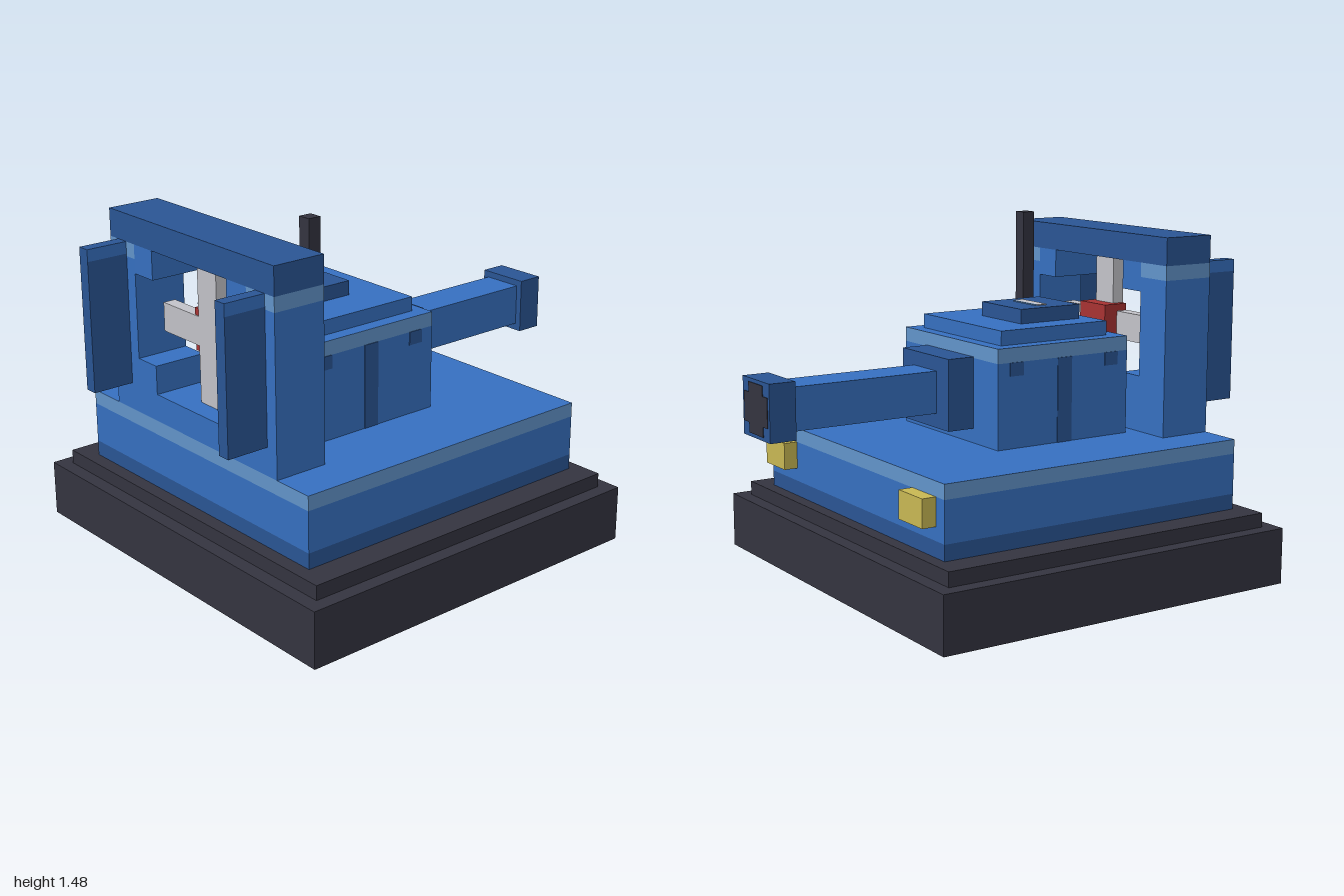
import * as THREE from 'three';

const paint = (name, color) => {
  const m = new THREE.MeshStandardMaterial({ color });
  m.name = name;
  return m;
};

export function createModel() {
  const model = new THREE.Group();
  const blue = paint('blue', 0x3670c0);
  const navy = paint('dark blue', 0x2a5594);
  const sky = paint('light blue', 0x6294ca);
  const charcoal = paint('charcoal', 0x343440);
  const yellow = paint('yellow', 0xc8b853);
  const grey = paint('light grey', 0xc3c3c9);
  const red = paint('red', 0xa83232);

  // Box from its limits on each axis
  const box = (name, mat, [x0, x1], [y0, y1], [z0, z1]) => {
    const mesh = new THREE.Mesh(new THREE.BoxGeometry(x1 - x0, y1 - y0, z1 - z0), mat);
    mesh.position.set((x0 + x1) / 2, (y0 + y1) / 2, (z0 + z1) / 2);
    mesh.name = name;
    model.add(mesh);
    return mesh;
  };
  // Same box on both sides of the model
  const pair = (name, mat, [x0, x1], y, z) => {
    box(name + 'Left', mat, [x0, x1], y, z);
    box(name + 'Right', mat, [-x1, -x0], y, z);
  };
  // Light trim round the sides, blue on top
  const trim = [sky, sky, blue, blue, sky, sky];

  // Stepped base
  box('base', charcoal, [-0.88, 0.88], [0, 0.235], [-0.7, 0.94]);
  box('baseStep', charcoal, [-0.82, 0.82], [0.235, 0.295], [-0.64, 0.88]);

  // Hull in three bands
  const hullX = [-0.705, 0.705], hullZ = [-0.585, 0.82];
  box('hullLowerBand', navy, hullX, [0.295, 0.36], hullZ);
  box('hull', blue, hullX, [0.36, 0.53], hullZ);
  box('hullTrim', trim, hullX, [0.53, 0.59], hullZ);
  pair('rearLamp', yellow, [0.475, 0.645], [0.415, 0.53], [-0.645, -0.585]);

  // Gate frame with a stepped opening
  const gateZ = [0.59, 0.82];
  box('gateSill', blue, [-0.525, 0.525], [0.59, 0.705], gateZ);
  pair('gatePost', blue, [0.36, 0.525], [0.705, 1.24], gateZ);
  pair('gatePostTrim', trim, [0.36, 0.525], [1.24, 1.3], gateZ);
  pair('gateLowerCorner', blue, [0.24, 0.36], [0.705, 0.825], gateZ);
  pair('gateUpperCorner', blue, [0.24, 0.36], [1.18, 1.3], gateZ);
  box('gateBeam', navy, [-0.525, 0.525], [1.3, 1.415], gateZ);

  // Fins in front of the posts
  pair('fin', navy, [0.415, 0.47], [0.705, 1.25], [0.82, 1]);
  pair('finTip', [blue, blue, navy, navy, navy, navy], [0.415, 0.47], [1.25, 1.3], [0.82, 1]);

  // Cross with its hub
  box('crossUpright', grey, [-0.06, 0.06], [0.705, 1.3], [0.68, 0.735]);
  box('crossBarLeft', grey, [0.06, 0.295], [0.94, 1.06], [0.68, 0.735]);
  box('crossBarRight', grey, [-0.295, -0.06], [0.94, 1.06], [0.68, 0.735]);
  box('crossHub', red, [-0.088, 0.088], [0.915, 1.09], [0.615, 0.73]);

  // Turret with side markings
  const turretX = [-0.355, 0.355], turretZ = [-0.115, 0.528];
  box('turret', blue, turretX, [0.59, 0.94], turretZ);
  box('turretTrim', trim, turretX, [0.94, 1], turretZ);
  pair('sideStripe', navy, [0.355, 0.358], [0.59, 0.94], [0.175, 0.245]);
  for (const z of [-0.025, 0.445])
    pair('sidePatch', navy, [0.355, 0.358], [0.885, 0.94], [z - 0.033, z + 0.033]);
  box('turretRoof', blue, [-0.295, 0.295], [1, 1.06], [-0.06, 0.465]);

  // Hatch with marking, and aerial
  box('hatch', navy, [-0.18, 0.112], [1.06, 1.12], [0.115, 0.41]);
  box('hatchMark', grey, [-0.12, 0.055], [1.12, 1.124], [0.24, 0.285]);
  box('hatchMarkEdge', sky, [-0.11, 0.045], [1.12, 1.124], [0.23, 0.24]);
  box('aerial', charcoal, [0.235, 0.292], [1, 1.475], [0.412, 0.468]);

  // Barrel pointing to the rear
  box('mantlet', navy, [-0.178, 0.178], [0.65, 0.945], [-0.235, -0.115]);
  box('barrel', blue, [-0.088, 0.088], [0.71, 0.885], [-0.885, -0.235]);
  box('muzzle', navy, [-0.115, 0.115], [0.68, 0.912], [-0.997, -0.885]);

  // Dark bore face with notched corners
  box('boreCentre', charcoal, [-0.06, 0.06], [0.695, 0.897], [-1, -0.997]);
  pair('boreSide', charcoal, [0.06, 0.1], [0.736, 0.856], [-1, -0.997]);

  return model;
}
